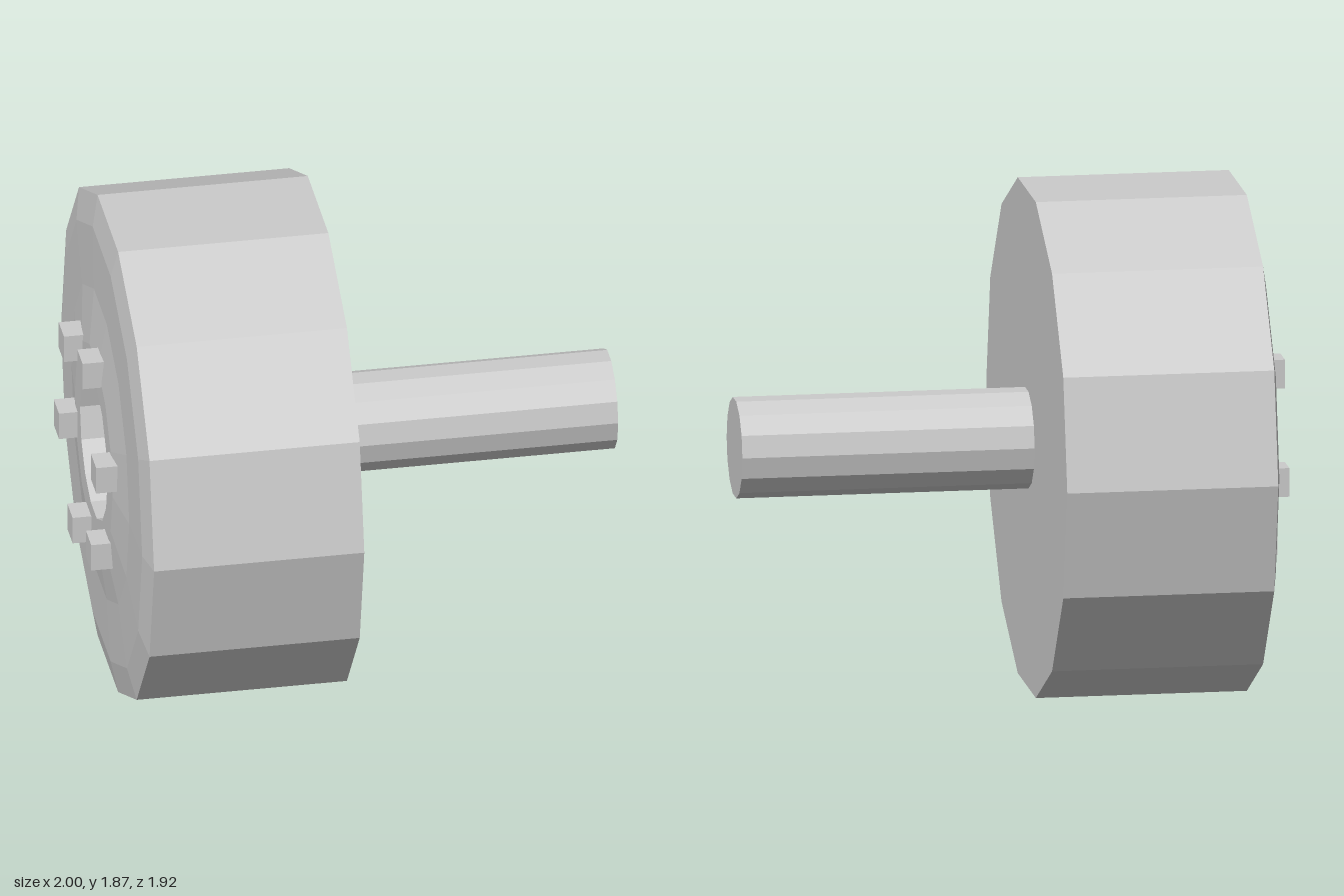
import * as THREE from 'three';

const SIDES = 14;
const CENTRE_Y = 0.936;

export function createModel() {
  const model = new THREE.Group();
  model.name = 'wheelAndAxle';
  const material = new THREE.MeshStandardMaterial({ color: 0xcccccc, flatShading: true });

  const add = (name, geometry, x, y = 0, z = 0) => {
    const mesh = new THREE.Mesh(geometry, material);
    mesh.name = name;
    mesh.position.set(x, CENTRE_Y + y, z);
    model.add(mesh);
  };

  // Wheel: [radius, x] profile from the hub recess, over the stepped outer face, to the flat inner face
  const profile = [
    [0, -0.73], [0.285, -0.73], [0.285, -0.93], [0.39, -0.93], [0.6, -0.905],
    [0.84, -0.9], [0.96, -0.877], [0.96, -0.09], [0, -0.09],
  ].map(([r, x]) => new THREE.Vector2(r, x));
  add('wheel', new THREE.LatheGeometry(profile, SIDES).rotateZ(-Math.PI / 2), 0);

  // Axle running inwards from the wheel
  const axleLength = 1.09;
  const axle = new THREE.CylinderGeometry(0.187, 0.187, axleLength, SIDES).rotateZ(-Math.PI / 2);
  add('axle', axle, 1 - axleLength / 2);

  // Six square lugs in a ring around the recess
  const lug = new THREE.BoxGeometry(0.1, 0.108, 0.108);
  for (let i = 0; i < 6; i++) {
    const angle = THREE.MathUtils.degToRad(15 + i * 60);
    add('lug' + (i + 1), lug, -0.95, 0.4 * Math.sin(angle), 0.4 * Math.cos(angle));
  }

  return model;
}
